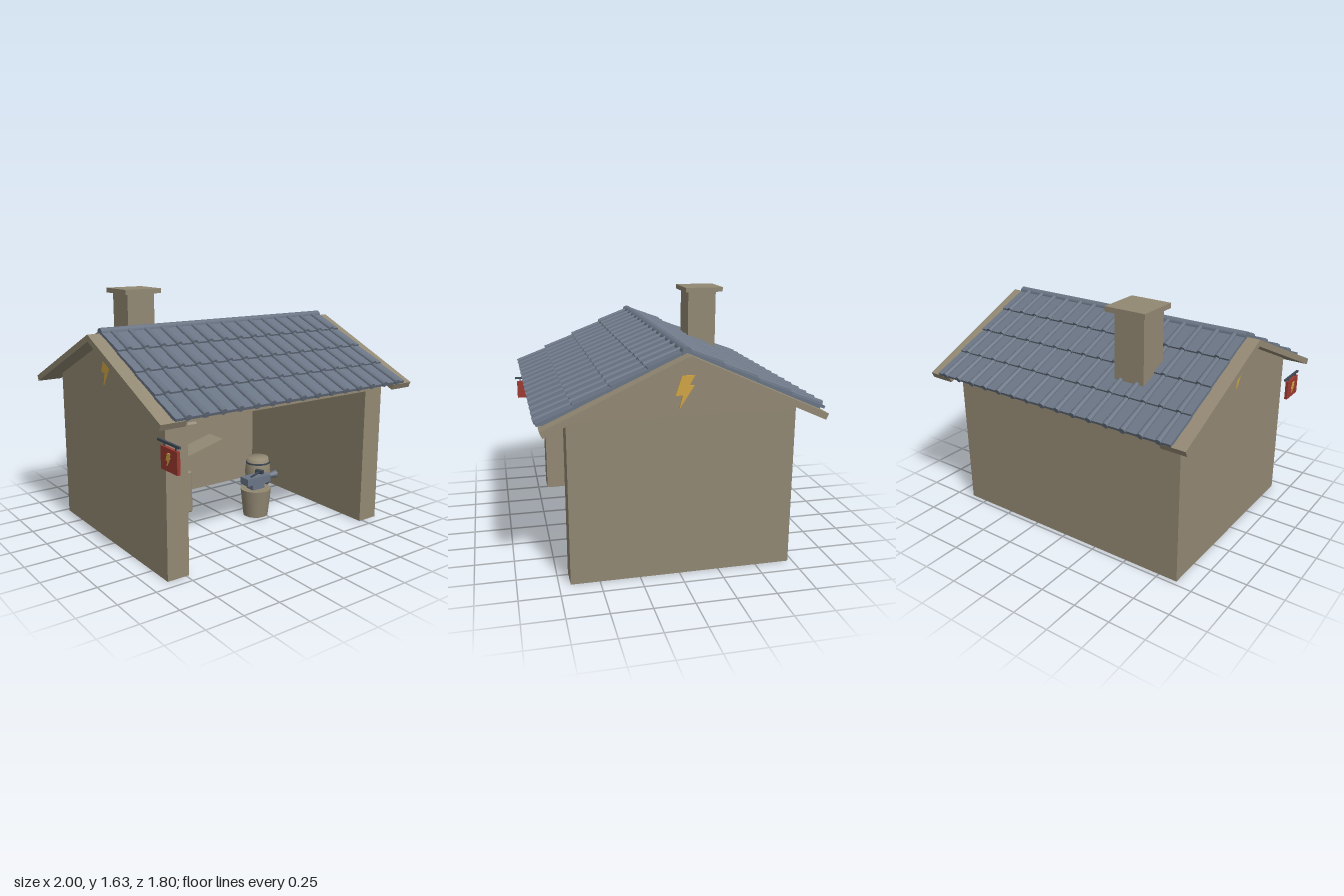
import * as THREE from 'three';
import { RoundedBoxGeometry } from 'three/addons/geometries/RoundedBoxGeometry.js';

const material = (name, color, flatShading = false) => {
  const m = new THREE.MeshStandardMaterial({ color, flatShading });
  m.name = name;
  return m;
};

export function createModel() {
  const root = new THREE.Group();
  root.name = 'smithy';
  const clay = material('clay brown', 0x928873);
  const slate = material('slate blue', 0x6a7585);
  const iron = material('dark iron', 0x3f4a55);
  const gold = material('gold', 0xd0a444, true);
  const red = material('red', 0x9c3930);

  const add = (name, geo, mat, x = 0, y = 0, z = 0, parent = root) => {
    const mesh = new THREE.Mesh(geo, mat);
    mesh.name = name;
    mesh.position.set(x, y, z);
    parent.add(mesh);
    return mesh;
  };
  const box = (name, mat, x0, x1, y0, y1, z0, z1, parent = root) =>
    add(name, new THREE.BoxGeometry(x1 - x0, y1 - y0, z1 - z0), mat,
      (x0 + x1) / 2, (y0 + y1) / 2, (z0 + z1) / 2, parent);
  const outline = (pts) => new THREE.Shape(pts.map(([a, b]) => new THREE.Vector2(a, b)));
  const extrude = (pts, depth) =>
    new THREE.ExtrudeGeometry(outline(pts), { depth, bevelEnabled: false });

  // Walls around an open front, with a flat ceiling
  box('leftWall', clay, 0.725, 0.88, 0, 1.02, -0.72, 0.68);
  box('rightWall', clay, -0.88, -0.73, 0, 1.02, -0.72, 0.68);
  box('backWall', clay, -0.73, 0.725, 0, 1.02, -0.72, -0.57);
  box('ceiling', clay, -0.73, 0.725, 0.95, 1.02, -0.57, 0.68);

  // Gable block filling the space under the roof
  const ridgeZ = -0.022, ridgeY = 1.4;
  const gable = extrude([[-0.68, 1.02], [0.72, 1.02], [0.72, 1.066], [-ridgeZ, 1.384], [-0.68, 1.066]], 1.76);
  add('gable', gable, clay, -0.88).rotation.y = Math.PI / 2;

  // Roof slopes: verge boards, deck, overlapping tile rows and rolls
  const pitch = Math.atan(0.39 / 0.86), slopeLength = 0.944, rows = 4;
  const rowLength = slopeLength / rows;
  for (const side of [0, 1]) {
    const turn = new THREE.Group();
    turn.name = side ? 'backRoof' : 'frontRoof';
    turn.position.set(-0.003, ridgeY, ridgeZ);
    turn.rotation.y = side * Math.PI;
    root.add(turn);
    const slope = new THREE.Group();
    slope.name = 'slope';
    slope.rotation.x = pitch;
    turn.add(slope);
    box('vergeBoard', clay, 0.83, 1, -0.04, 0, 0, slopeLength, slope);
    box('vergeBoard', clay, -1, -0.83, -0.04, 0, 0, slopeLength, slope);
    box('roofDeck', slate, -0.91, 0.91, -0.012, 0.008, 0, slopeLength - 0.02, slope);
    for (let r = 0; r < rows; r++) {
      const row = new THREE.Group();
      row.name = 'tileRow';
      row.position.set(0, 0.013, (r + 0.5) * rowLength);
      row.rotation.x = -0.05;
      slope.add(row);
      box('tilePans', slate, -0.913, 0.913, -0.009, 0.009, -rowLength / 2, rowLength / 2 + 0.006, row);
      for (let i = -7; i <= 7; i++) {
        const roll = new THREE.CylinderGeometry(0.021, 0.016, rowLength + 0.02, 8);
        add('tileRoll', roll, slate, i * 0.1196, 0.009, 0.004, row).rotation.x = Math.PI / 2;
      }
    }
  }
  const cap = add('ridgeCap', new THREE.CylinderGeometry(0.031, 0.031, 1.83, 8), slate, -0.003, 1.404, ridgeZ);
  cap.rotation.z = Math.PI / 2;

  // Chimney
  box('chimneyShaft', clay, -0.53, -0.32, 1.0, 1.605, -0.58, -0.37);
  box('chimneyCap', clay, -0.56, -0.28, 1.6, 1.633, -0.62, -0.34);

  // Smoke hood: a box narrowed towards the top and kept against the back wall
  const hood = new THREE.BoxGeometry(1, 0.28, 1);
  const hp = hood.attributes.position;
  for (let i = 0; i < hp.count; i++) {
    const top = hp.getY(i) > 0;
    hp.setX(i, Math.sign(hp.getX(i)) * (top ? 0.145 : 0.312));
    hp.setZ(i, hp.getZ(i) < 0 ? -0.58 : (top ? -0.34 : -0.15));
  }
  hood.computeVertexNormals();
  add('smokeHood', hood, clay, -0.422, 0.812, 0);

  // Forge with coals and flames
  add('forge', new RoundedBoxGeometry(0.56, 0.316, 0.42, 1, 0.012), clay, -0.428, 0.158, -0.37);
  add('coals', new THREE.CylinderGeometry(0.065, 0.11, 0.025, 16), red, -0.425, 0.327, -0.345);
  const flames = [[0, 0, 0.052, 0.235], [-0.042, 0.02, 0.032, 0.135], [0.045, 0.01, 0.036, 0.15],
    [-0.01, 0.05, 0.03, 0.11], [0.01, -0.045, 0.034, 0.13]];
  for (const [x, z, r, h] of flames) {
    add('flame', new THREE.ConeGeometry(r, h, 6), gold, -0.425 + x, 0.325 + h / 2, -0.345 + z);
  }

  // Bellows beside the forge
  add('bellows', extrude([[-0.11, 0.34], [0.21, 0.375], [0.21, 0.475], [-0.11, 0.39]], 0.18), clay, 0, 0, -0.46);

  // Anvil on a stump, with a hammer
  const az = 0.13;
  add('stump', new THREE.CylinderGeometry(0.112, 0.09, 0.2, 16), clay, 0.21, 0.1, az);
  box('anvilFoot', slate, 0.155, 0.26, 0.2, 0.245, az - 0.04, az + 0.04);
  box('anvilBody', slate, 0.103, 0.312, 0.24, 0.293, az - 0.045, az + 0.045);
  const horn = add('anvilHorn', new THREE.CylinderGeometry(0.008, 0.028, 0.1, 10), slate, 0.345, 0.27, az);
  horn.rotation.z = Math.PI / 2;
  const hammer = new THREE.Group();
  hammer.name = 'hammer';
  hammer.position.set(0.21, 0.303, az);
  hammer.rotation.set(0, 0.35, 0.08);
  root.add(hammer);
  box('hammerHandle', iron, -0.06, 0.05, -0.005, 0.005, -0.006, 0.006, hammer);
  box('hammerHead', iron, 0.04, 0.065, -0.012, 0.014, -0.03, 0.03, hammer);

  // Barrel with two hoops
  const staves = [[0, 0], [0.083, 0], [0.097, 0.06], [0.104, 0.125], [0.097, 0.19], [0.083, 0.25], [0, 0.25]];
  add('barrel', new THREE.LatheGeometry(staves.map(([r, y]) => new THREE.Vector2(r, y)), 16), clay, 0.595, 0, -0.33);
  for (const y of [0.042, 0.208]) {
    add('barrelHoop', new THREE.CylinderGeometry(0.098, 0.098, 0.012, 16), iron, 0.595, y, -0.33);
  }

  // Lightning bolts on both gables and both faces of the sign
  const bolt = [[-0.021, 0.1], [0.058, 0.1], [0.023, 0.04], [0.055, 0.04], [-0.036, -0.1], [-0.017, -0.018], [-0.06, -0.018]];
  const addBolt = (x, y, z, scale, dir) => {
    const b = add('boltEmblem', extrude(bolt, 0.008), gold, x, y, z);
    b.scale.set(scale, scale, 1);
    b.rotation.y = dir * Math.PI / 2;
  };
  const signX = -0.915;
  for (const dir of [1, -1]) {
    addBolt(dir * 0.879, 1.163, -0.022, 1, dir);
    addBolt(signX + dir * 0.008, 0.79, 0.787, 0.39, dir);
  }

  // Hanging sign
  box('signBoard', red, signX - 0.01, signX + 0.01, 0.72, 0.855, 0.702, 0.875);
  box('signBar', iron, signX - 0.007, signX + 0.007, 0.873, 0.887, 0.66, 0.89);
  for (const z of [0.727, 0.85]) {
    box('signHanger', iron, signX - 0.004, signX + 0.004, 0.85, 0.876, z - 0.004, z + 0.004);
  }
  return root;
}
